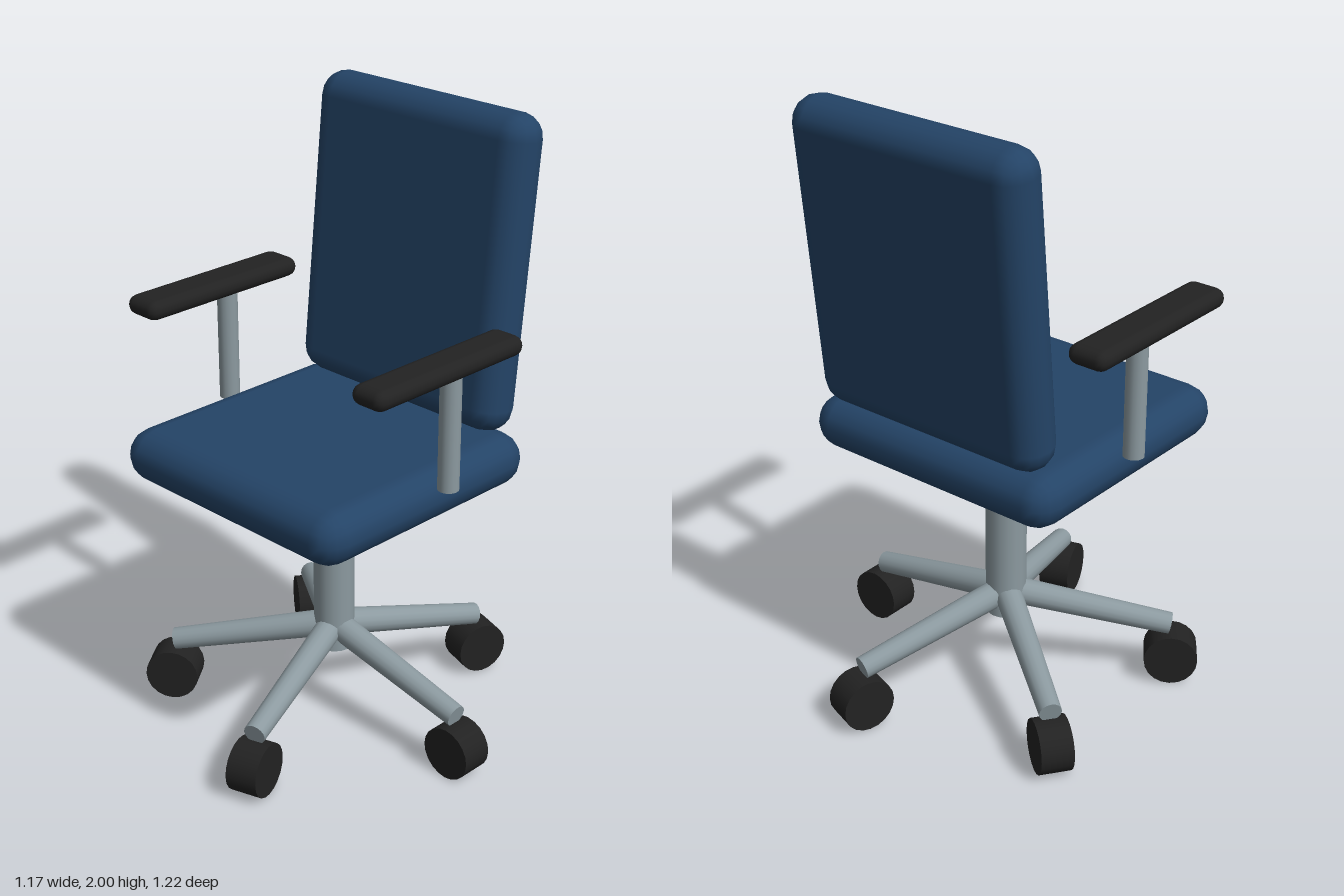
import * as THREE from 'three';
import { RoundedBoxGeometry } from 'three/addons/geometries/RoundedBoxGeometry.js';

const mat = (name, color) => {
  const m = new THREE.MeshStandardMaterial({ color });
  m.name = name;
  return m;
};

export function createModel() {
  const fabric = mat('blue fabric', 0x244467);
  const metal = mat('grey metal', 0x8c9aa0);
  const plastic = mat('black plastic', 0x222222);

  const chair = new THREE.Group();
  chair.name = 'officeChair';
  const add = (parent, name, geometry, material, x = 0, y = 0, z = 0) => {
    const mesh = new THREE.Mesh(geometry, material);
    mesh.name = name;
    mesh.position.set(x, y, z);
    parent.add(mesh);
    return mesh;
  };
  const cx = -0.04; // the column axis

  // Cushions
  add(chair, 'seat', new RoundedBoxGeometry(0.926, 0.172, 0.886, 2, 0.085), fabric, cx, 0.928, 0.04);
  const back = add(chair, 'backrest', new RoundedBoxGeometry(0.846, 0.99, 0.162, 2, 0.08), fabric, cx, 1.508, -0.365);
  back.rotation.x = -0.1;

  // Central column
  add(chair, 'column', new THREE.CylinderGeometry(0.066, 0.066, 0.64, 16), metal, cx, 0.56, 0);

  // Armrests
  for (const [side, x, width] of [['left', 0.441, 0.124], ['right', -0.52, 0.134]]) {
    add(chair, side + 'ArmPost', new THREE.CylinderGeometry(0.033, 0.033, 0.39, 16), metal, side === 'left' ? 0.437 : -0.522, 1.165, 0);
    add(chair, side + 'ArmPad', new RoundedBoxGeometry(width, 0.063, 0.616, 2, 0.031), plastic, x, 1.371, 0.054);
  }

  // Five sloping legs, each with a caster rolling outwards
  const start = new THREE.Vector3(0, 0.315, 0);
  const end = new THREE.Vector3(0.535, 0.2, 0);
  const along = end.clone().sub(start);
  for (let i = 0; i < 5; i++) {
    const arm = new THREE.Group();
    arm.name = 'baseArm' + (i + 1);
    arm.position.x = cx;
    arm.rotation.y = (i * Math.PI * 2) / 5;
    const leg = add(arm, 'leg', new THREE.CylinderGeometry(0.036, 0.045, along.length(), 16), metal);
    leg.position.copy(start).add(end).multiplyScalar(0.5);
    leg.quaternion.setFromUnitVectors(new THREE.Vector3(0, 1, 0), along.clone().normalize());
    const caster = add(arm, 'caster', new THREE.CylinderGeometry(0.087, 0.087, 0.104, 20), plastic, 0.54, 0.087, 0);
    caster.rotation.x = Math.PI / 2;
    chair.add(arm);
  }
  return chair;
}
